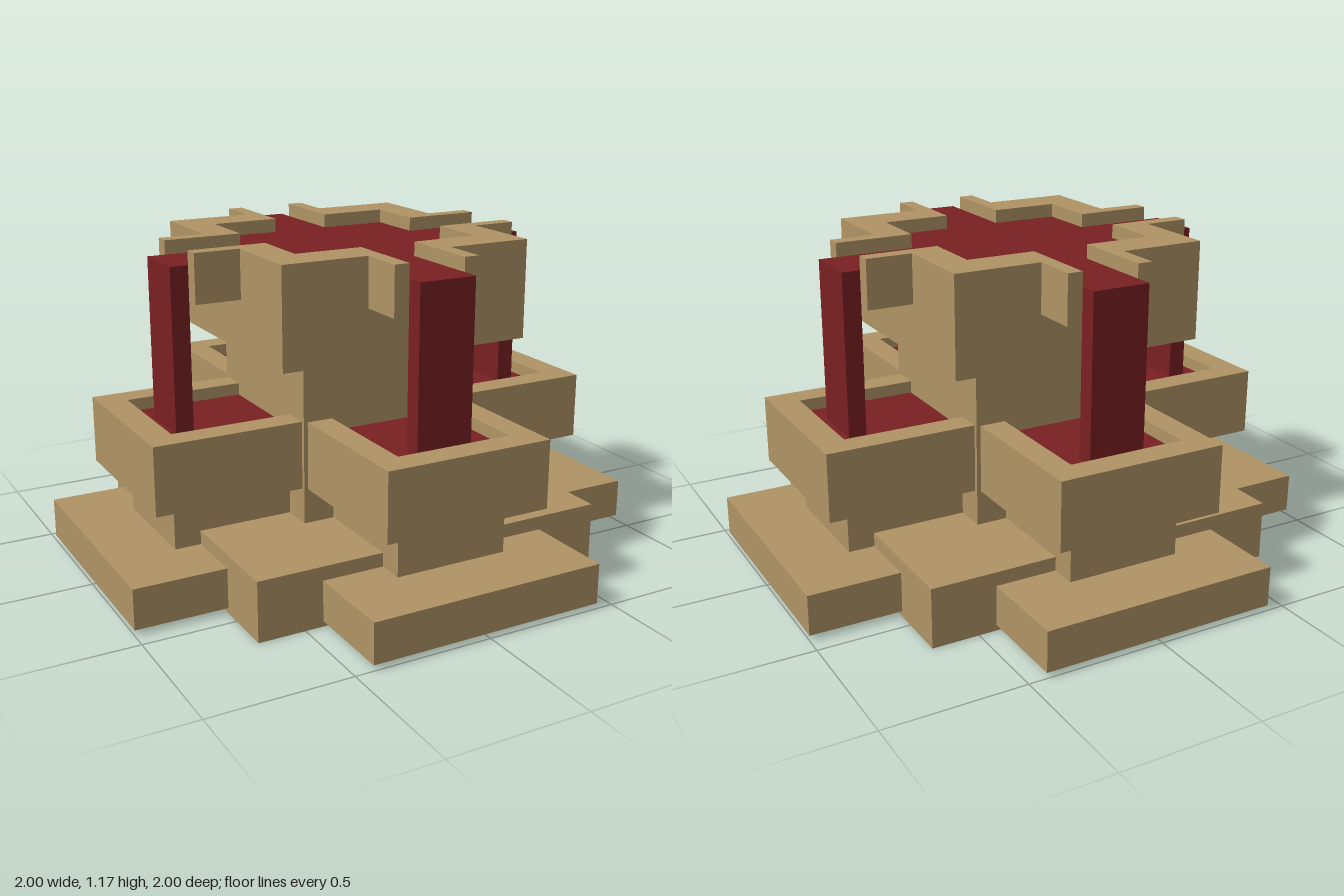
import * as THREE from 'three';

const stone = new THREE.MeshStandardMaterial({ color: 0xb09465 });
stone.name = 'sandstone';
const red = new THREE.MeshStandardMaterial({ color: 0x7a2022 });
red.name = 'red liquid';

// box given by its limits on each axis
function box(name, mat, x0, x1, y0, y1, z0, z1) {
  const g = new THREE.BoxGeometry(x1 - x0, y1 - y0, z1 - z0);
  g.translate((x0 + x1) / 2, (y0 + y1) / 2, (z0 + z1) / 2);
  const m = new THREE.Mesh(g, mat);
  m.name = name;
  return m;
}

// plan outline of [x, z] points raised from y0 to y1
function slab(name, mat, points, y0, y1) {
  const shape = new THREE.Shape(points.map(([x, z]) => new THREE.Vector2(x, -z)));
  const g = new THREE.ExtrudeGeometry(shape, { depth: y1 - y0, bevelEnabled: false });
  g.rotateX(-Math.PI / 2).translate(0, y0, 0);
  const m = new THREE.Mesh(g, mat);
  m.name = name;
  return m;
}

// plus-shaped outline mirrored from one quarter: core hx by hz, arms w wide reaching r
function cross(hx, hz, w, r) {
  const q = [[r, w], [hx, w], [hx, hz], [w, hz], [w, r]];
  const flip = (sx, sz) => q.map(([x, z]) => [x * sx, z * sz]);
  return [...flip(1, 1), ...flip(-1, 1).reverse(), ...flip(-1, -1), ...flip(1, -1).reverse()];
}

export function createModel() {
  const model = new THREE.Group();
  model.name = 'fountain';

  // central tower
  model.add(
    box('basePlinth', stone, -0.67, 0.67, 0, 0.215, -0.67, 0.67),
    box('column', stone, -0.325, 0.325, 0.215, 0.82, -0.325, 0.325),
    box('upperBlock', stone, -0.475, 0.475, 0.82, 1.0, -0.475, 0.475),
    slab('upperBasinBody', stone, cross(0.475, 0.475, 0.16, 0.64), 1.0, 1.115),
    slab('upperPool', red, cross(0.355, 0.33, 0.105, 0.64), 1.115, 1.125)
  );

  // raised rim around the upper pool, one piece per corner
  const corner = [
    [0.105, 0.64], [0.16, 0.64], [0.16, 0.475], [0.475, 0.475], [0.475, 0.16],
    [0.64, 0.16], [0.64, 0.105], [0.355, 0.105], [0.355, 0.33], [0.105, 0.33]
  ];
  for (const sx of [1, -1]) for (const sz of [1, -1]) {
    model.add(slab('upperRim', stone, corner.map(([x, z]) => [x * sx, z * sz]), 1.115, 1.175));
  }

  // four arms: step, pedestal, open basin, pool and falling stream
  const rim = [
    [-0.31, 0.325], [-0.31, 0.865], [0.31, 0.865], [0.31, 0.325],
    [0.215, 0.325], [0.215, 0.765], [-0.215, 0.765], [-0.215, 0.325]
  ];
  for (let i = 0; i < 4; i++) {
    const arm = new THREE.Group();
    arm.name = 'fountainArm';
    arm.add(
      box('step', stone, -0.435, 0.435, 0.02, 0.165, 0.67, 1),
      box('pedestal', stone, -0.21, 0.21, 0.165, 0.34, 0.325, 0.765),
      box('basinFloor', stone, -0.31, 0.31, 0.34, 0.4, 0.325, 0.865),
      slab('basinWall', stone, rim, 0.4, 0.585),
      box('basinPool', red, -0.215, 0.215, 0.4, 0.54, 0.325, 0.765),
      box('fallingStream', red, -0.105, 0.105, 0.53, 1.125, 0.64, 0.705)
    );
    arm.rotation.y = i * Math.PI / 2;
    model.add(arm);
  }
  return model;
}
